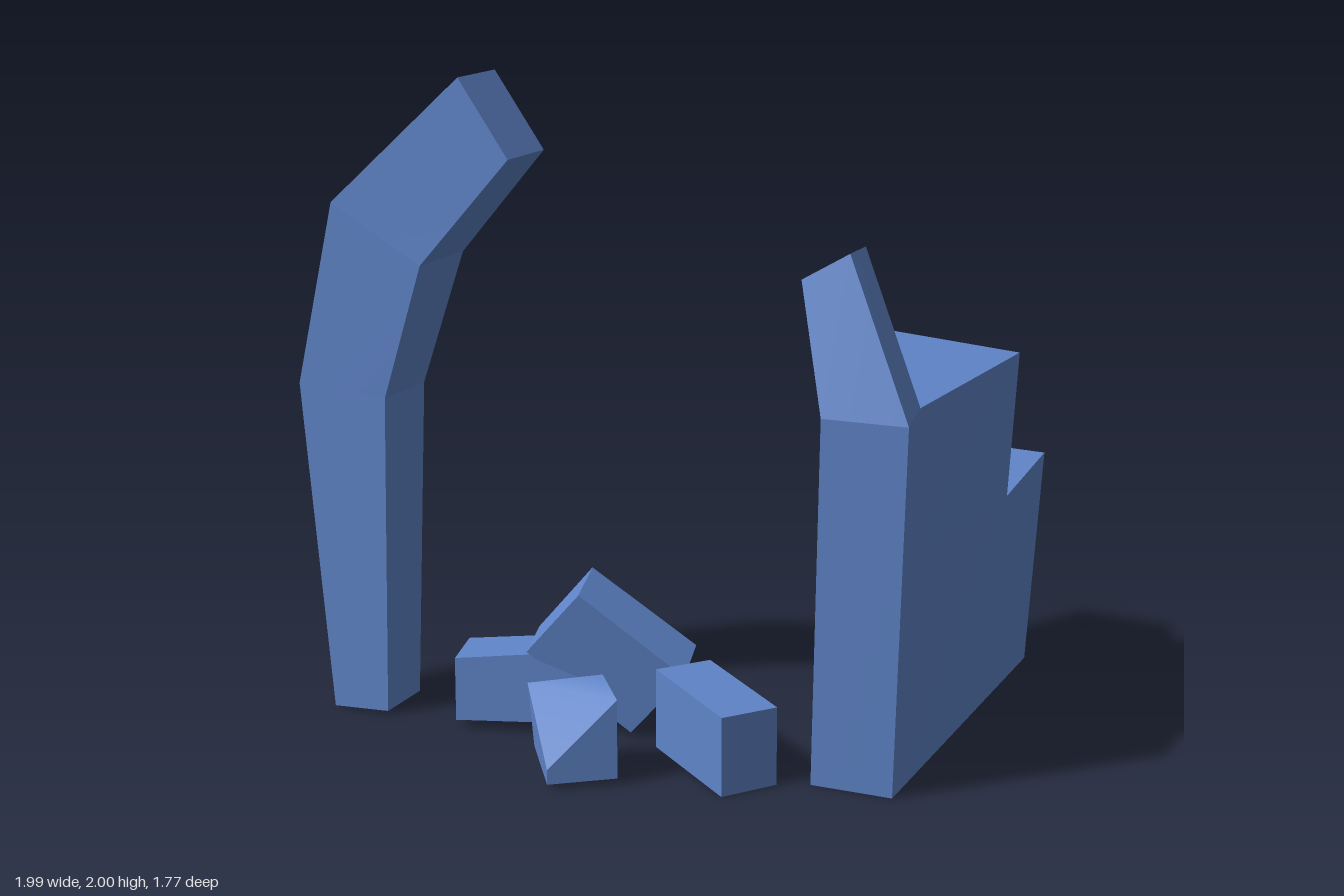
import * as THREE from 'three';

const stone = new THREE.MeshStandardMaterial({ color: 0x5f84c8 });
stone.name = 'blue stone';

// Stacks four-cornered rings (front-left, front-right, back-right, back-left) into a closed solid.
// Each quad owns its corners, so edges stay sharp while warped faces shade softly.
function loft(name, rings) {
  const positions = [], index = [];
  const quad = (...corners) => {
    const n = positions.length / 3;
    corners.forEach((c) => positions.push(...c));
    index.push(n, n + 1, n + 2, n, n + 2, n + 3);
  };
  for (let r = 0; r < rings.length - 1; r++) {
    const a = rings[r], b = rings[r + 1];
    for (let i = 0; i < 4; i++) {
      const j = (i + 1) % 4;
      quad(a[i], a[j], b[j], b[i]);
    }
  }
  quad(...[...rings[0]].reverse());
  quad(...rings[rings.length - 1]);
  const geometry = new THREE.BufferGeometry();
  geometry.setAttribute('position', new THREE.Float32BufferAttribute(positions, 3));
  geometry.setIndex(index);
  geometry.computeVertexNormals();
  const mesh = new THREE.Mesh(geometry, stone);
  mesh.name = name;
  return mesh;
}

export function createModel() {
  const model = new THREE.Group();
  model.name = 'ruinedArch';

  // Curved arch half: outer x, y, inner x, y, back z, front z
  const archSections = [
    [-0.92, 0, -0.73, 0.01, 0.34, 0.54],
    [-1.0, 1.04, -0.7, 1.02, 0.32, 0.56],
    [-0.86, 1.61, -0.56, 1.44, 0.31, 0.575],
    [-0.43, 2.0, -0.27, 1.77, 0.33, 0.56],
  ];
  model.add(loft('brokenArch', archSections.map(([ox, oy, ix, iy, zb, zf]) =>
    [[ox, oy, zf], [ix, iy, zf], [ix, iy, zb], [ox, oy, zb]])));

  // Opposite pillar with its leaning broken tip
  model.add(loft('pillar', [
    [[0.68, 0, 0.54], [0.93, 0, 0.54], [0.93, 0, 0.385], [0.68, 0, 0.385]],
    [[0.73, 1.12, 0.63], [0.985, 1.12, 0.625], [0.935, 1.12, 0.385], [0.675, 1.13, 0.385]],
    [[0.62, 1.48, 0.505], [0.765, 1.565, 0.51], [0.765, 1.565, 0.385], [0.62, 1.48, 0.38]],
  ]));

  // Stepped wall behind the pillar
  model.add(loft('upperWall', [
    [[0.68, 0, 0.385], [0.93, 0, 0.385], [0.93, 0, -0.4], [0.68, 0, -0.42]],
    [[0.677, 0.66, 0.385], [0.933, 0.66, 0.385], [0.965, 0.66, -0.4], [0.63, 0.67, -0.42]],
    [[0.675, 1.13, 0.385], [0.935, 1.115, 0.385], [0.99, 1.12, -0.405], [0.56, 1.14, -0.46]],
  ]));
  model.add(loft('lowerWall', [
    [[0.68, 0, -0.42], [0.93, 0, -0.4], [0.93, 0, -0.78], [0.68, 0, -0.79]],
    [[0.63, 0.67, -0.42], [0.965, 0.66, -0.4], [0.955, 0.69, -0.85], [0.615, 0.69, -0.885]],
  ]));

  // Fallen blocks
  model.add(loft('leftBlock', [
    [[-0.48, 0.025, 0.555], [-0.1, 0.04, 0.465], [-0.15, 0.045, 0.28], [-0.53, 0.025, 0.37]],
    [[-0.48, 0.225, 0.555], [-0.1, 0.27, 0.465], [-0.15, 0.265, 0.28], [-0.53, 0.225, 0.37]],
  ]));
  model.add(loft('rightBlock', [
    [[0.175, 0.025, 0.51], [0.48, 0, 0.73], [0.59, 0, 0.58], [0.285, 0.02, 0.36]],
    [[0.175, 0.27, 0.51], [0.48, 0.24, 0.73], [0.59, 0.238, 0.58], [0.285, 0.267, 0.36]],
  ]));
  model.add(loft('leaningBlock', [
    [[-0.26, 0.26, 0.505], [0.045, 0.015, 0.41], [0.02, 0.04, 0.24], [-0.3, 0.285, 0.34]],
    [[-0.08, 0.465, 0.51], [0.225, 0.22, 0.415], [0.185, 0.26, 0.235], [-0.115, 0.5, 0.34]],
  ]));
  // Small block with its front corner broken off
  model.add(loft('chippedBlock', [
    [[-0.12, 0.06, 0.73], [0, 0.015, 0.885], [0.17, 0.02, 0.77], [0.05, 0.02, 0.615]],
    [[-0.145, 0.25, 0.72], [0, 0.06, 0.885], [0.17, 0.26, 0.77], [0.05, 0.27, 0.615]],
  ]));
  return model;
}
